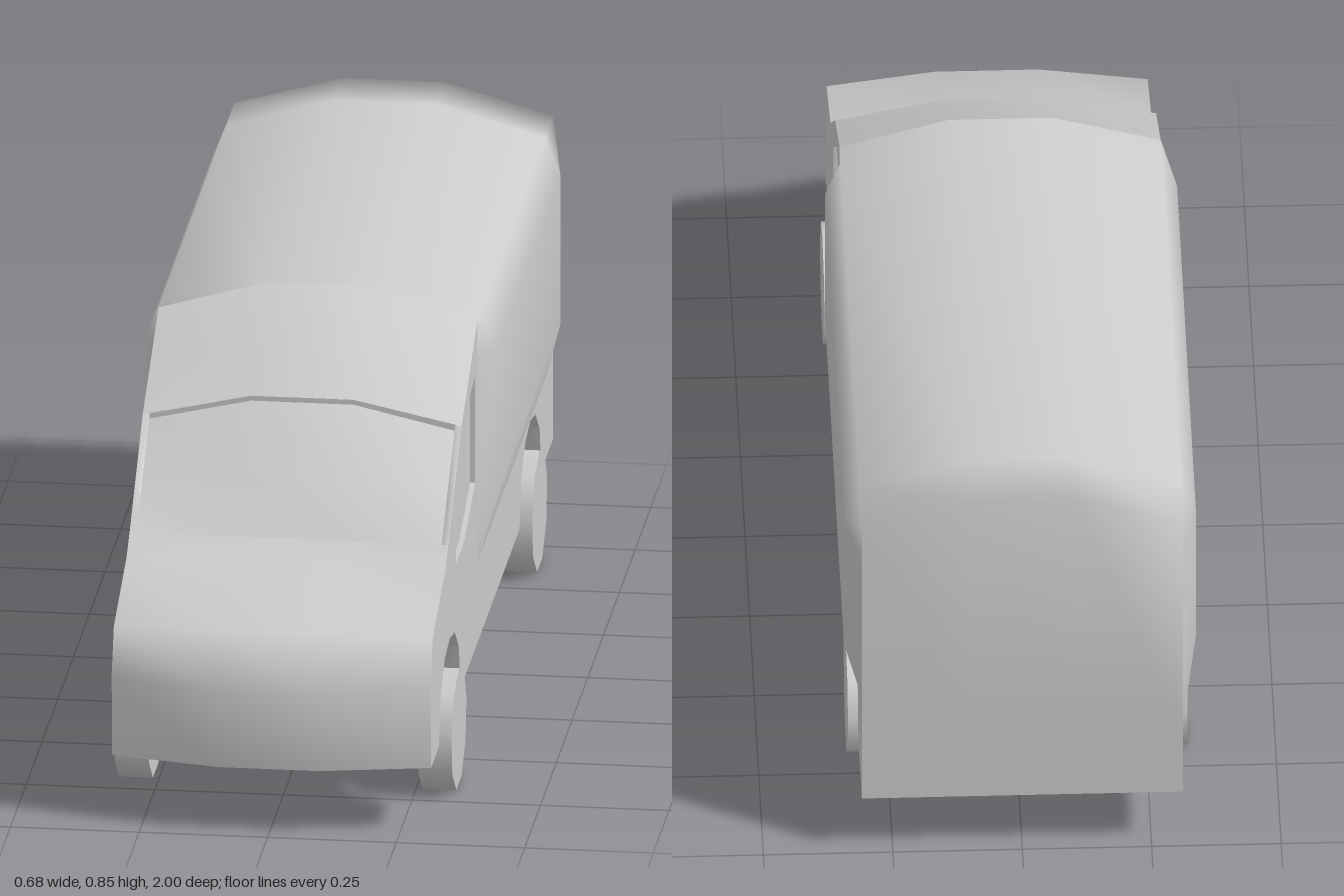
import * as THREE from 'three';

const material = new THREE.MeshStandardMaterial({ color: 0xcccccc, side: THREE.DoubleSide });
const HALF = 0.31, SILL = 0.14, BELT = 0.305, AXLE = 0.64;

function part(name, geometry) {
  const mesh = new THREE.Mesh(geometry, material);
  mesh.name = name;
  return mesh;
}

// Skin through rows of [x, y, z]; rows run rear to front, columns from +x to -x
function loft(rows) {
  const n = rows[0].length, index = [];
  for (let r = 0; r < rows.length - 1; r++) {
    for (let c = 0; c < n - 1; c++) {
      const a = r * n + c, d = a + n;
      index.push(a, a + 1, d, a + 1, d + 1, d);
    }
  }
  const g = new THREE.BufferGeometry();
  g.setAttribute('position', new THREE.Float32BufferAttribute(rows.flat(2), 3));
  g.setIndex(index);
  g.computeVertexNormals();
  return g;
}

// Complete a half row (+x side, ending near the centre) by mirroring
const mirrorRow = (half) => [...half, ...half.slice().reverse().map(([x, y, z]) => [-x, y, z])];

const shapeOf = (points) => new THREE.Shape(points.map(([a, b]) => new THREE.Vector2(a, b)));

// Wheel arch outline, rear to front, as [z, y]
const arch = (z) => [[-0.172, SILL], [-0.145, 0.235], [-0.08, 0.287], [0, 0.302],
  [0.08, 0.287], [0.145, 0.235], [0.172, SILL]].map(([dz, y]) => [z + dz, y]);

export function createModel() {
  const van = new THREE.Group();
  van.name = 'van';

  // Cargo body: bulged sides tapering to the rear and to the cab
  const section = (z, w) => mirrorRow([[HALF, BELT, z], [w, 0.42, z], [w, 0.725, z], [HALF, 0.8, z], [0.1, 0.86, z]]);
  const rear = section(-1, HALF);
  van.add(part('cargoBody', loft([
    rear.map(([x, , z]) => [x, BELT, z]), rear,
    section(-0.87, 0.34), section(0.15, 0.34), section(0.2, HALF),
  ])));
  van.add(part('rearLowerPanel', loft([
    [[HALF, SILL, -1], [-HALF, SILL, -1]], [[HALF, BELT, -1], [-HALF, BELT, -1]],
  ])));

  // Cab top rows: edge [y, z] and centre [y, z]
  const cabRow = ([ey, ez, cy, cz]) => mirrorRow([[HALF, ey, ez], [0.1, cy, cz]]);
  van.add(part('cabRoof', loft([[0.8, 0.2, 0.86, 0.2], [0.67, 0.45, 0.715, 0.45]].map(cabRow))));
  van.add(part('bonnetAndNose', loft([
    [0.5, 0.66, 0.5, 0.66], [0.465, 0.71, 0.468, 0.71], [0.395, 0.91, 0.405, 0.935],
    [0.305, 0.945, 0.3, 1], [SILL, 0.935, SILL, 0.98],
  ].map(cabRow))));

  // Windscreen set slightly below its frame, with a lip along the top
  const screen = [[0.67, 0.715, 0.45, 0.01], [0.572, 0.602, 0.572, 0.01], [0.5, 0.5, 0.66, 0]];
  van.add(part('windscreen', loft(screen.map(([e, c, z, d]) =>
    mirrorRow([[0.297, e - d, z], [0.1, c - d, z]])))));
  van.add(part('windscreenLip', loft([0, 0.01].map((d) =>
    mirrorRow([[0.297, 0.67 - d, 0.45], [0.1, 0.715 - d, 0.45]])))));
  for (const s of [1, -1]) {
    van.add(part('windscreenPillar', loft(screen.map(([e, , z, d]) => {
      const row = [[s * HALF, e, z], [s * 0.297, e, z], [s * 0.297, e - d, z]];
      return s > 0 ? row : row.reverse();
    }))));
  }

  // Side panels with arch cut-outs and a recessed door window
  const windowOutline = [[0.54, 0.42], [0.54, 0.535], [0.36, 0.68], [0.235, 0.7], [0.235, 0.48], [0.41, 0.42]];
  const side = shapeOf([
    [-1, SILL], ...arch(-AXLE), ...arch(AXLE), [0.935, SILL], [0.945, 0.305], [0.91, 0.395],
    [0.71, 0.465], [0.66, 0.5], [0.572, 0.572], [0.45, 0.67], [0.2, 0.8], [0.2, BELT], [-1, BELT],
  ]);
  side.holes.push(shapeOf(windowOutline));
  const thick = 0.012;
  const sideGeometry = new THREE.ExtrudeGeometry(side, { depth: thick, bevelEnabled: false }).rotateY(-Math.PI / 2);
  const paneGeometry = new THREE.ShapeGeometry(shapeOf(windowOutline)).rotateY(-Math.PI / 2);
  for (const s of [1, -1]) {
    const panel = part('sidePanel', sideGeometry);
    panel.position.x = s > 0 ? HALF : -HALF + thick;
    const pane = part('doorWindow', paneGeometry);
    pane.position.x = s * (HALF - thick + 0.002);
    van.add(panel, pane);
  }

  // Floor with notches for the wheel wells
  const wellX = 0.2, w = 0.172;
  const half = [[HALF, -1]];
  for (const z of [-AXLE, AXLE]) half.push([HALF, z - w], [wellX, z - w], [wellX, z + w], [HALF, z + w]);
  half.push([HALF, 0.935], [0.1, 0.98]);
  const floor = part('floor', new THREE.ShapeGeometry(
    shapeOf([...half, ...half.slice().reverse().map(([x, z]) => [-x, z])])).rotateX(Math.PI / 2));
  floor.position.y = SILL;
  van.add(floor);

  // Wheel wells, wheels and axle stubs
  const wheelGeometry = new THREE.CylinderGeometry(0.121, 0.121, 0.066, 9, 1, false, Math.PI / 2).rotateZ(Math.PI / 2);
  const stubGeometry = new THREE.CylinderGeometry(0.025, 0.025, 0.08, 10);
  for (const z of [AXLE, -AXLE]) {
    for (const s of [1, -1]) {
      const outline = arch(z);
      van.add(part('wheelWell', loft([HALF - 0.001, wellX].map((x) => outline.map(([pz, y]) => [s * x, y, pz])))));
      const inner = part('wheelWellInnerWall', new THREE.ShapeGeometry(shapeOf(outline)).rotateY(-Math.PI / 2));
      inner.position.x = s * wellX;
      const wheel = part('wheel', wheelGeometry);
      wheel.position.set(s * 0.295, 0.121, z);
      const stub = part('axleStub', stubGeometry);
      stub.position.set(s * 0.245, 0.15, z);
      stub.rotation.z = s * 0.9;
      van.add(inner, wheel, stub);
    }
  }
  return van;
}
